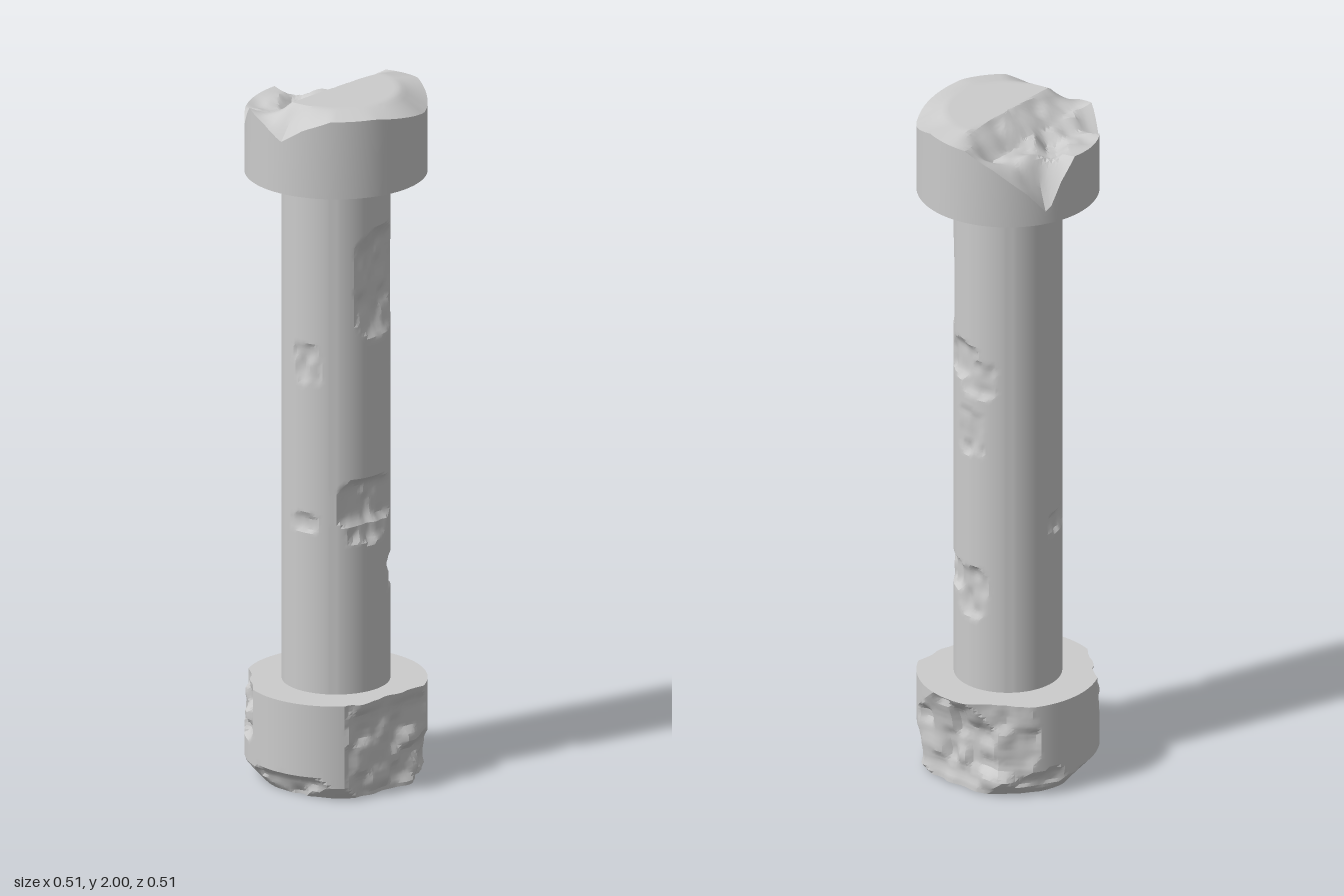
import * as THREE from 'three';
import { toCreasedNormals } from 'three/addons/utils/BufferGeometryUtils.js';

const TAU = Math.PI * 2, RAD = Math.PI / 180;
const material = new THREE.MeshStandardMaterial({ color: 0xcccccc });
const clamp = (v, a = 0, b = 1) => Math.min(b, Math.max(a, v));

// Repeatable hash and smooth-cell noise for chipped stone, in -1..1
const hash = (i, j) => {
  const s = Math.sin(i * 127.1 + j * 311.7 + 4.2) * 43758.5453;
  return (s - Math.floor(s)) * 2 - 1;
};
function noise(a, b) {
  const i = Math.floor(a), j = Math.floor(b);
  const step = t => clamp((t - 0.5) * 1.8 + 0.5);
  const u = step(a - i), v = step(b - j);
  const mix = (p, q, t) => p + (q - p) * t;
  return mix(mix(hash(i, j), hash(i + 1, j), u), mix(hash(i, j + 1), hash(i + 1, j + 1), u), v);
}

// Closed loops of points, joined from the bottom row to the top row
function ringMesh(name, rows, cols, point) {
  const pos = [], index = [];
  for (let j = 0; j < rows; j++)
    for (let i = 0; i < cols; i++) pos.push(...point(i / cols * TAU, j));
  for (let j = 0; j < rows - 1; j++)
    for (let i = 0; i < cols; i++) {
      const n = (i + 1) % cols, a = j * cols + i, b = j * cols + n;
      index.push(a, a + cols, b, b, a + cols, b + cols);
    }
  const geometry = new THREE.BufferGeometry();
  geometry.setAttribute('position', new THREE.Float32BufferAttribute(pos, 3));
  geometry.setIndex(index);
  const mesh = new THREE.Mesh(toCreasedNormals(geometry, 22 * RAD), material);
  mesh.name = name;
  return mesh;
}
const polar = (r, t, y) => [r * Math.cos(t), y, r * Math.sin(t)];

// Flat chips cut off a round wall: [angle, half angle, centre y, half height]
function chippedRadius(R, chips, rough, t, y) {
  let r = R;
  for (const [angle, half, yc, hh] of chips) {
    const d = Math.atan2(Math.sin(t - angle * RAD), Math.cos(t - angle * RAD));
    const v = Math.abs(y - yc) / hh;
    if (Math.abs(d) > half * RAD || v > 1) continue;
    const chord = R * Math.cos(half * RAD);
    const cut = chord + (R - chord) * v ** 5 + rough * noise(t * 5, y * 22);
    r = Math.min(r, cut / Math.cos(d));
  }
  return r;
}

// Heights by angle, joined by straight lines
function heightAt(table, deg) {
  for (let i = 0; i < table.length - 1; i++) {
    const [a, p] = table[i], [b, q] = table[i + 1];
    if (deg <= b) return p + (q - p) * (deg - a) / (b - a);
  }
  return table[table.length - 1][1];
}

const shaftChips = [
  [30, 37, 1.465, 0.16], [-28, 27, 1.27, 0.06], [-52, 24, 1.23, 0.06],
  [-43, 19, 1.06, 0.07], [47, 39, 0.83, 0.075], [47, 28, 0.78, 0.07],
  [-12, 28, 0.6, 0.05], [-45, 25, 0.57, 0.08],
  [120, 17, 1.235, 0.06], [126, 18, 0.77, 0.025], [203, 22, 0.77, 0.035],
];
const baseChips = [
  [45, 36, 0.1, 0.25], [10, 26, 0.02, 0.13], [-48, 38, 0.04, 0.24],
  [275, 24, 0.19, 0.15], [172, 20, 0.22, 0.09], [120, 34, 0, 0.07], [250, 20, 0, 0.08],
];
const rimHeights = [
  [0, 1.955], [12, 1.95], [40, 1.97], [62, 1.985], [90, 1.985], [108, 1.955], [124, 1.91],
  [140, 1.95], [158, 1.97], [172, 1.9], [184, 1.93], [225, 1.94], [236, 1.88], [246, 1.79],
  [260, 1.86], [280, 1.93], [300, 1.98], [330, 1.99], [350, 1.965], [360, 1.955],
];

// Broken top: a flat plateau that falls away into a rough hollow at back left
function topHeight(x, z) {
  const beyond = (-x * 0.72 - z * 0.62) - 0.005;
  const hollow = clamp(beyond / 0.07);
  return 2 - hollow * (0.075 + 0.025 * noise(x * 17 + 5, z * 17));
}

export function createModel() {
  const group = new THREE.Group();
  group.name = 'brokenPillar';

  // Shaft
  const shaftRows = 150;
  group.add(ringMesh('shaft', shaftRows, 96, (t, j) => {
    const y = 0.27 + 1.5 * j / (shaftRows - 1);
    return polar(chippedRadius(0.15, shaftChips, 0.006, t, y), t, y);
  }));

  // Chipped base block with an undercut foot
  const wall = 29;
  group.add(ringMesh('base', wall + 2, 128, (t, j) => {
    const y = 0.28 * clamp((j - 1) / (wall - 1));
    if (j === 0 || j === wall + 1) return polar(0.0005, t, y);
    const foot = 0.215 + 0.012 * Math.cos(t) + y * 0.9 + 0.006 * noise(t * 4, 3);
    return polar(Math.min(foot, chippedRadius(0.253, baseChips, 0.014, t, y)), t, y);
  }));

  // Broken capital: round wall, ragged rim, then rings in to the centre
  const rings = 22;
  group.add(ringMesh('capital', rings + 3, 96, (t, j) => {
    if (j === 0) return polar(0.0005, t, 1.76);
    if (j === 1) return polar(0.253, t, 1.76);
    const k = (j - 2) / rings, r = Math.max(0.0005, 0.253 * (1 - k));
    const [x, , z] = polar(r, t, 0);
    const rim = heightAt(rimHeights, t / RAD);
    const blend = clamp(k / 0.3);
    return polar(r, t, Math.min(2, rim + (topHeight(x, z) - rim) * blend));
  }));
  return group;
}
